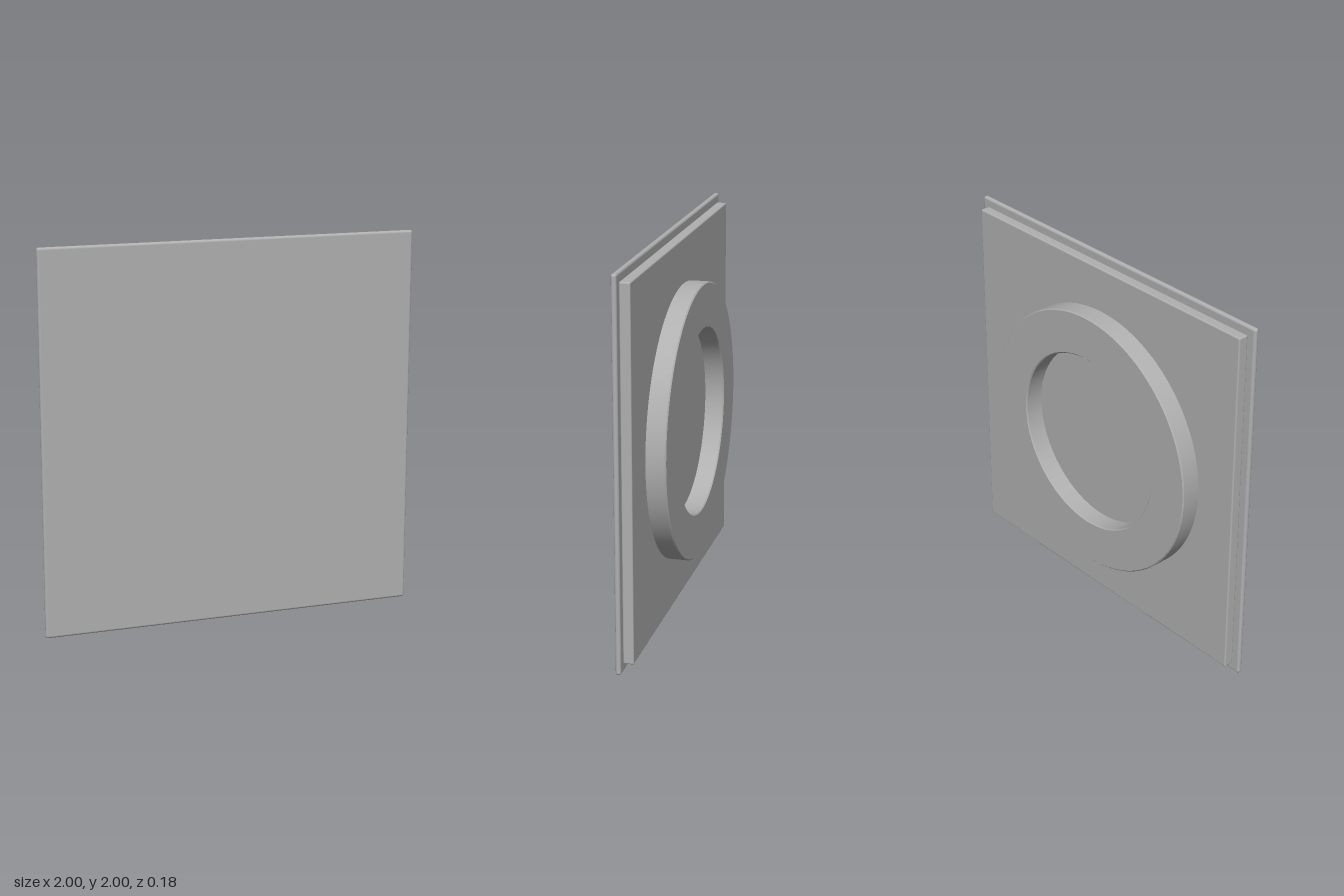
import * as THREE from 'three';
import { toCreasedNormals } from 'three/addons/utils/BufferGeometryUtils.js';
import { RoundedBoxGeometry } from 'three/addons/geometries/RoundedBoxGeometry.js';

const grey = new THREE.MeshStandardMaterial({ name: 'grey', color: 0xb0b0b0 });

function addPart(group, name, geometry, z) {
  const mesh = new THREE.Mesh(geometry, grey);
  mesh.name = name;
  mesh.position.set(0, 1, z);
  group.add(mesh);
}

// Square-section ring along z with small chamfers on its rear edges
function ringGeometry(inner, outer, depth, bevel) {
  const h = depth / 2;
  const profile = [
    [inner, h], [inner, -h + bevel], [inner + bevel, -h],
    [outer - bevel, -h], [outer, -h + bevel], [outer, h], [inner, h],
  ].map(([r, y]) => new THREE.Vector2(r, y));
  const lathe = new THREE.LatheGeometry(profile, 96).rotateX(Math.PI / 2);
  return toCreasedNormals(lathe, 0.5);
}

export function createModel() {
  const model = new THREE.Group();
  model.name = 'squarePanel';
  // Thin front plate with rounded edges
  addPart(model, 'frontPlate', new RoundedBoxGeometry(2, 2, 0.028, 4, 0.013), 0.078);
  // Slightly smaller slab behind it
  addPart(model, 'backingSlab', new RoundedBoxGeometry(1.91, 1.91, 0.055, 3, 0.008), 0.038);
  // Mounting ring on the back
  addPart(model, 'mountingRing', ringGeometry(0.485, 0.722, 0.104, 0.006), -0.04);
  return model;
}
